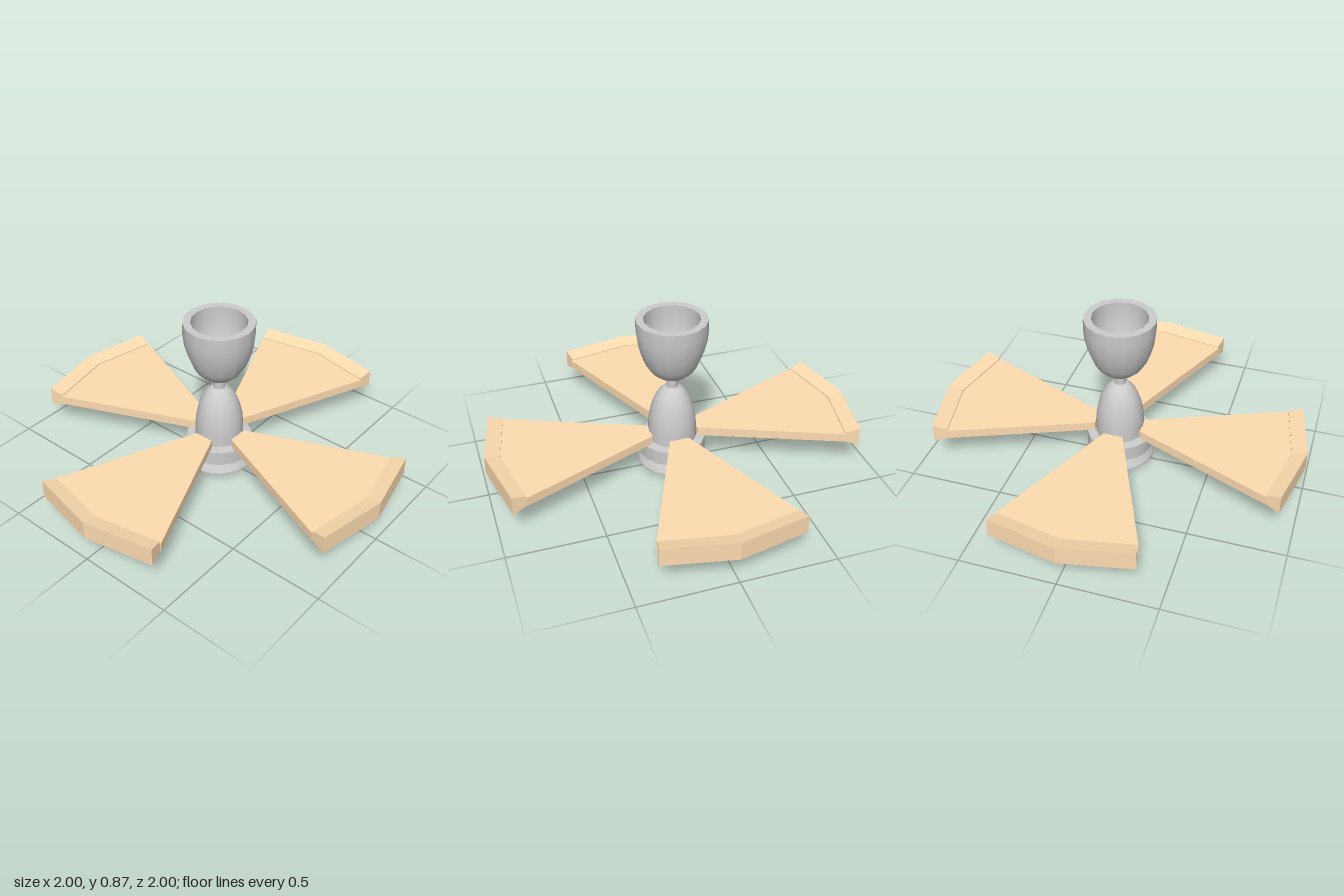
import * as THREE from 'three';

const metal = new THREE.MeshStandardMaterial({ color: 0xcccccc, side: THREE.DoubleSide });
const wood = new THREE.MeshStandardMaterial({ color: 0xfedcb0, flatShading: true });

// Solid of revolution from separate profile runs, so edges between runs stay sharp.
// Profiles run upward on the outside.
function turned(name, runs) {
  const group = new THREE.Group();
  group.name = name;
  for (const run of runs) {
    const points = run.map(([r, y]) => new THREE.Vector2(r, y));
    const mesh = new THREE.Mesh(new THREE.LatheGeometry(points, 16), metal);
    mesh.name = name + 'Surface';
    group.add(mesh);
  }
  return group;
}

// Closed solid lofted through cross-sections with equal point counts.
function loft(sections) {
  const n = sections[0].length;
  const index = [];
  for (let s = 0; s < sections.length - 1; s++) {
    for (let i = 0; i < n; i++) {
      const j = (i + 1) % n, a = s * n + i, b = s * n + j;
      index.push(a, b, a + n, b, b + n, a + n);
    }
  }
  const last = (sections.length - 1) * n;
  for (let i = 1; i < n - 1; i++) {
    index.push(0, i + 1, i, last, last + i, last + i + 1);
  }
  const geometry = new THREE.BufferGeometry();
  geometry.setAttribute('position', new THREE.Float32BufferAttribute(sections.flat(2), 3));
  geometry.setIndex(index);
  const flat = geometry.toNonIndexed();
  flat.computeVertexNormals();
  return flat;
}

// Wedge-shaped panel pointing along +x, with a shallow pointed end
function bladePanel() {
  const shape = new THREE.Shape([
    [0.125, -0.052], [0.85, -0.355], [0.92, 0], [0.85, 0.355], [0.125, 0.052],
  ].map(([x, y]) => new THREE.Vector2(x, y)));
  const geometry = new THREE.ExtrudeGeometry(shape, { depth: 0.048, bevelEnabled: false });
  geometry.rotateX(-Math.PI / 2).translate(0, 0.166, 0);
  return geometry;
}

// Chevron end cap that flares from the panel thickness to a tall outer face
function bladeTip() {
  const section = (xi, zi, xo, zo) => [
    [xi, 0.162, zi], [xo, 0.14, zo], [xo, 0.24, zo], [xi, 0.22, zi],
  ];
  // Sections run from -z to +z, corners counterclockwise seen from +z
  return loft([
    section(0.85, -0.348, 0.925, -0.367),
    section(0.92, 0, 1, 0),
    section(0.85, 0.348, 0.925, 0.367),
  ]);
}

export function createModel() {
  const model = new THREE.Group();
  model.name = 'ceilingFan';

  // Stepped base
  model.add(turned('base', [
    [[0, 0], [0.14, 0]],
    [[0.14, 0], [0.185, 0.025]],
    [[0.185, 0.025], [0.185, 0.035]],
    [[0.185, 0.035], [0.162, 0.08]],
    [[0.162, 0.08], [0.175, 0.085]],
    [[0.175, 0.085], [0.175, 0.165]],
    [[0.175, 0.165], [0.12, 0.17]],
  ]));

  // Domed motor housing
  model.add(turned('motorHousing', [[
    [0.128, 0.165], [0.128, 0.24], [0.123, 0.3], [0.11, 0.36], [0.092, 0.41],
    [0.07, 0.446], [0.047, 0.468], [0.03, 0.475],
  ]]));

  model.add(turned('neck', [[[0.03, 0.465], [0.03, 0.55]]]));

  // Hollow mounting cup
  model.add(turned('canopy', [
    [[0.03, 0.534], [0.05, 0.536]],
    [[0.05, 0.536], [0.085, 0.552], [0.115, 0.58], [0.14, 0.622], [0.162, 0.68],
      [0.178, 0.74], [0.185, 0.8], [0.185, 0.866]],
    [[0.185, 0.866], [0.145, 0.866]],
    [[0.145, 0.866], [0.145, 0.8], [0.138, 0.74], [0.12, 0.67], [0.09, 0.61], [0.035, 0.57]],
    [[0.035, 0.57], [0, 0.57]],
  ]));

  // Four blades around the housing
  const panel = bladePanel();
  const tip = bladeTip();
  for (let i = 0; i < 4; i++) {
    const blade = new THREE.Group();
    blade.name = 'blade' + (i + 1);
    const panelMesh = new THREE.Mesh(panel, wood);
    panelMesh.name = 'bladePanel';
    const tipMesh = new THREE.Mesh(tip, wood);
    tipMesh.name = 'bladeTip';
    blade.add(panelMesh, tipMesh);
    blade.rotation.y = i * Math.PI / 2;
    model.add(blade);
  }
  return model;
}
